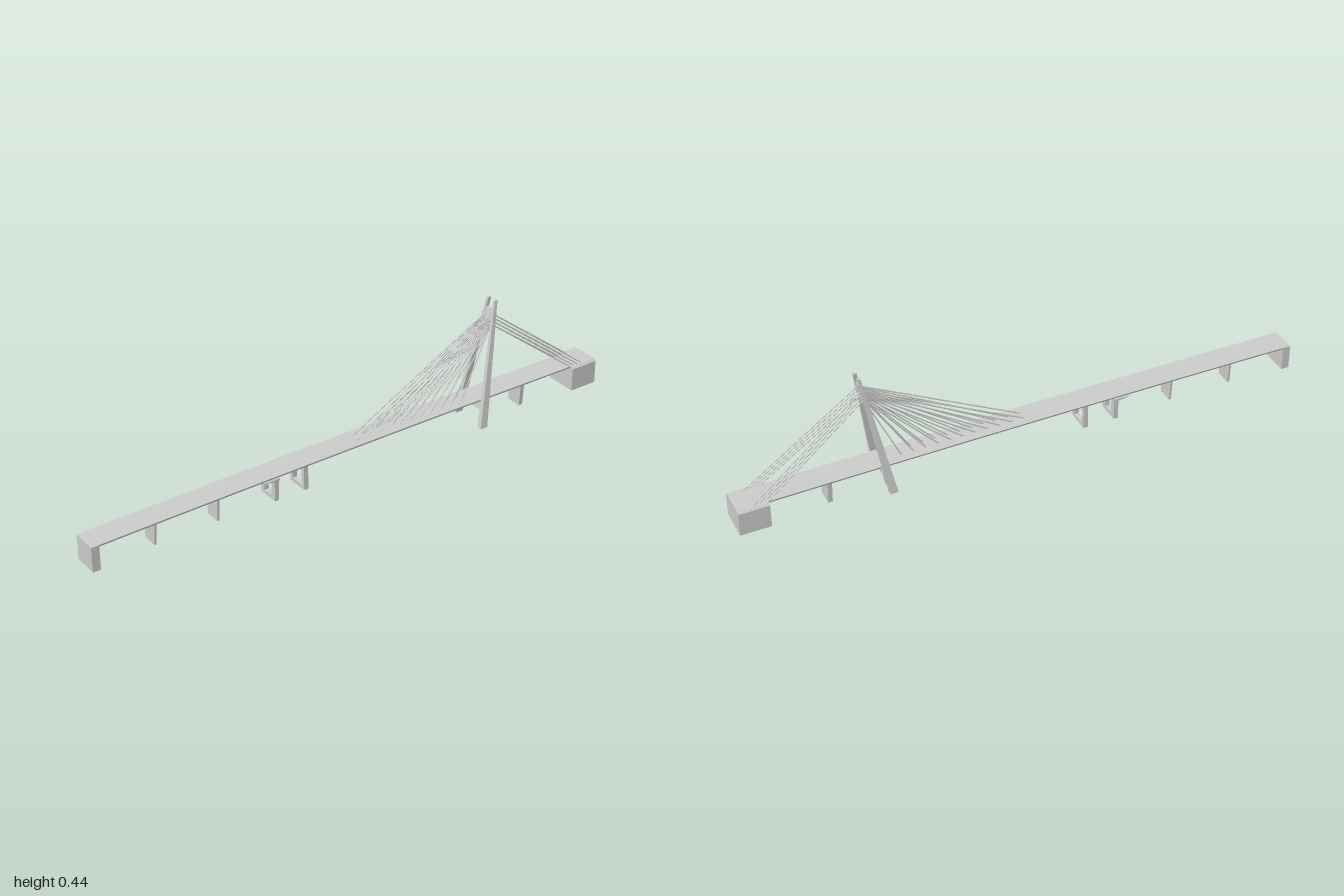
import * as THREE from 'three';

const grey = new THREE.MeshStandardMaterial({ color: 0xcccccc, flatShading: true });

function add(group, name, geometry) {
  const mesh = new THREE.Mesh(geometry, grey);
  mesh.name = name;
  group.add(mesh);
  return mesh;
}

// Block between a bottom and a top rectangle, each [y, x0, x1, z0, z1]
function block(group, name, bottom, top) {
  const g = new THREE.BoxGeometry(1, 1, 1);
  const p = g.attributes.position;
  for (let i = 0; i < p.count; i++) {
    const [y, x0, x1, z0, z1] = p.getY(i) > 0 ? top : bottom;
    p.setXYZ(i, p.getX(i) > 0 ? x1 : x0, y, p.getZ(i) > 0 ? z1 : z0);
  }
  g.computeVertexNormals();
  return add(group, name, g);
}

// Shape in the z-y plane pushed out along x from x0 to x1
function extrudeX(group, name, shape, x0, x1) {
  const g = new THREE.ExtrudeGeometry(shape, { depth: x1 - x0, bevelEnabled: false });
  g.rotateY(Math.PI / 2).translate(x0, 0, 0);
  return add(group, name, g);
}

const polygon = pts => new THREE.Shape(pts.map(([z, y]) => new THREE.Vector2(z, y)));

function cable(group, name, from, to) {
  const a = new THREE.Vector3(...from), b = new THREE.Vector3(...to);
  const mesh = add(group, name, new THREE.CylinderGeometry(0.0021, 0.0021, a.distanceTo(b), 6));
  mesh.position.copy(a).lerp(b, 0.5);
  mesh.quaternion.setFromUnitVectors(new THREE.Vector3(0, 1, 0), b.sub(a).normalize());
}

// Height of the road surface: a gentle hump along the span
const deckTop = x => 0.0955 - 0.0055 * Math.min(1, ((x - 0.02) / 0.98) ** 2);
// Centre line of the leaning pylon
const pylonX = y => 0.488 + 0.078 * y / 0.44;

export function createModel() {
  const model = new THREE.Group();
  model.name = 'cableStayedBridge';

  // Deck, narrower underneath
  const deck = new THREE.BoxGeometry(2, 1, 1, 40, 1, 1);
  const p = deck.attributes.position;
  for (let i = 0; i < p.count; i++) {
    const x = p.getX(i), up = p.getY(i) > 0;
    p.setXYZ(i, x, deckTop(x) - (up ? 0 : 0.009), Math.sign(p.getZ(i)) * (up ? 0.045 : 0.04));
  }
  deck.computeVertexNormals();
  add(model, 'deck', deck);

  // End supports
  block(model, 'abutment', [0, -1, -0.972, -0.045, 0.045], [0.088, -1, -0.972, -0.045, 0.045]);
  extrudeX(model, 'anchorBlock', polygon([
    [-0.057, 0], [0.057, 0], [0.057, 0.084], [0.05, 0.0915], [-0.05, 0.0915], [-0.057, 0.084],
  ]), 0.895, 1);

  // Solid wall piers
  for (const [x, w] of [[-0.77, 0.007], [-0.542, 0.007], [0.688, 0.015]]) {
    block(model, 'wallPier', [0, x - w / 2, x + w / 2, -0.028, 0.028],
      [deckTop(x) - 0.008, x - w / 2, x + w / 2, -0.034, 0.034]);
  }

  // Open frame piers
  for (const [x, hole] of [[-0.328, 0.02], [-0.215, 0.026]]) {
    const top = deckTop(x) - 0.008;
    const frame = polygon([[-0.04, 0], [0.04, 0], [0.04, top], [-0.04, top]]);
    frame.holes.push(polygon([[-hole, 0.013], [-hole, top - 0.015], [hole, top - 0.015], [hole, 0.013]]));
    extrudeX(model, 'framePier', frame, x - 0.008, x + 0.008);
  }
  block(model, 'pierLedge', [0.079, -0.345, -0.32, -0.048, 0.048], [0.086, -0.376, -0.32, -0.048, 0.048]);

  // Leaning A-shaped pylon
  const pylon = new THREE.Group();
  pylon.name = 'pylon';
  model.add(pylon);
  for (const s of [1, -1]) {
    const zs = (a, b) => [s * a, s * b].sort((m, n) => m - n);
    block(pylon, 'pylonLeg', [0, 0.474, 0.502, ...zs(0.059, 0.077)], [0.44, 0.56, 0.571, ...zs(0.0115, 0.0215)]);
  }
  block(pylon, 'upperCrossbeam',
    [0.345, pylonX(0.345) - 0.006, pylonX(0.345) + 0.006, -0.024, 0.024],
    [0.407, pylonX(0.407) - 0.005, pylonX(0.407) + 0.005, -0.018, 0.018]);
  block(pylon, 'lowerCrossbeam', [0.06, 0.488, 0.512, -0.058, 0.058], [0.086, 0.492, 0.516, -0.055, 0.055]);
  for (const s of [1, -1]) {
    block(pylon, 'beamBracket', [0.037, 0.497, 0.512, s * 0.06 - 0.006, s * 0.06 + 0.006],
      [0.086, 0.497, 0.518, s * 0.053 - 0.006, s * 0.053 + 0.006]);
  }

  // Stay cables on both sides
  const cables = new THREE.Group();
  cables.name = 'stayCables';
  model.add(cables);
  for (const s of [1, -1]) {
    for (let i = 0; i < 11; i++) {
      const x = i * 0.0435, y = 0.39 - i * 0.0042;
      cable(cables, 'mainCable', [x, deckTop(x) - 0.001, s * 0.014], [pylonX(y), y, s * 0.014]);
    }
    for (let i = 0; i < 4; i++) {
      const y = 0.39 - i * 0.012;
      cable(cables, 'backStay', [0.945 - i * 0.017, 0.09, s * 0.042], [pylonX(y), y, s * 0.0145]);
    }
  }
  return model;
}
